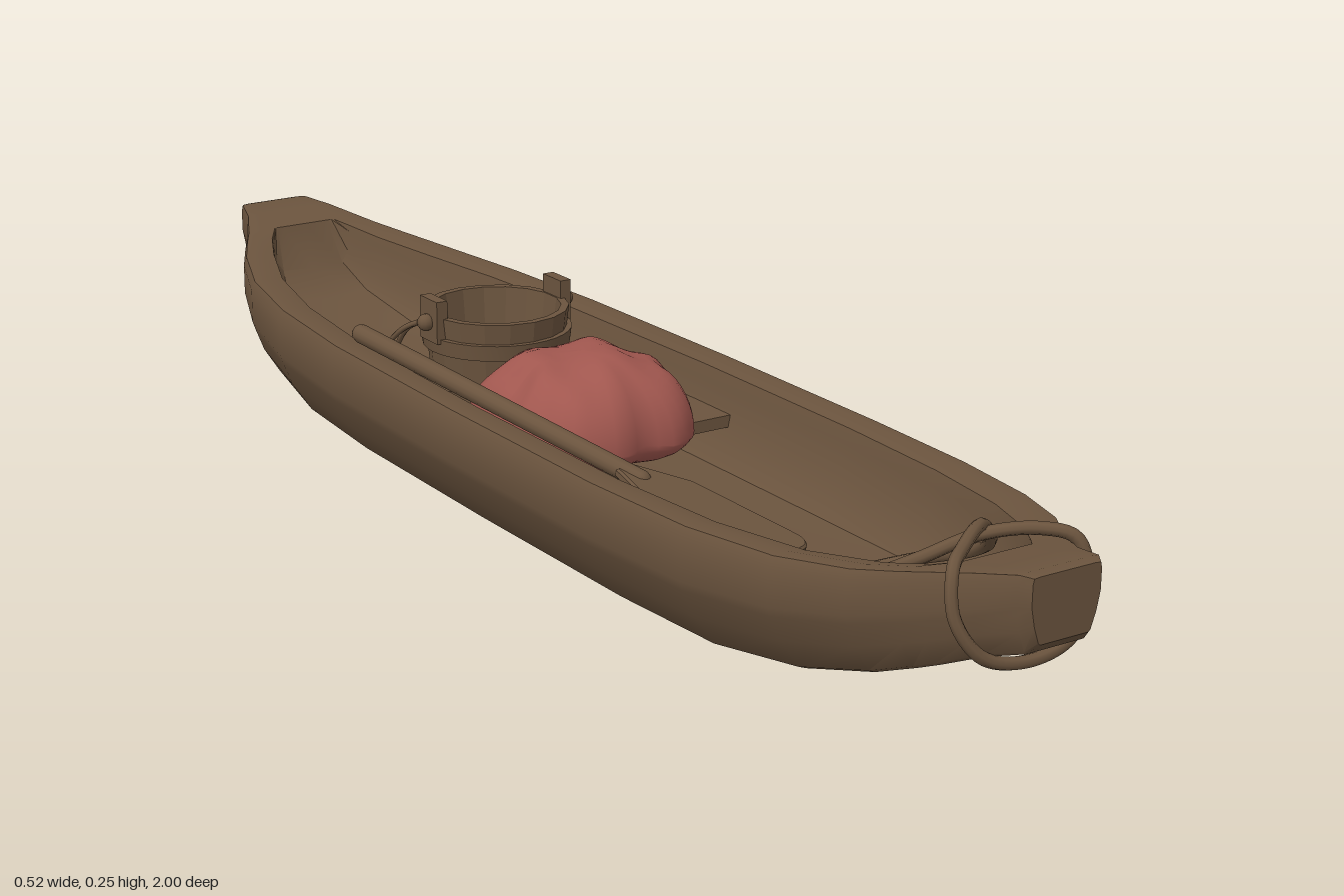
import * as THREE from 'three';
import { toCreasedNormals } from 'three/addons/utils/BufferGeometryUtils.js';

const CX = 0.022; // hull centre line
const wood = new THREE.MeshStandardMaterial({ name: 'brownWood', color: 0x6b543e });
const red = new THREE.MeshStandardMaterial({ name: 'redCloth', color: 0xa1574f });
const V = (x, y, z) => new THREE.Vector3(x, y, z);

function add(parent, name, geometry, material = wood, x = 0, y = 0, z = 0) {
  const mesh = new THREE.Mesh(geometry, material);
  mesh.name = name;
  mesh.position.set(x, y, z);
  parent.add(mesh);
  return mesh;
}

function rope(points, radius, closed = false) {
  const curve = new THREE.CatmullRomCurve3(points, closed);
  return new THREE.TubeGeometry(curve, points.length * 8, radius, 8, closed);
}

// Dugout hull: each station is z, half width, rim y, keel y, inner half width, floor y
function hullGeometry() {
  const stations = [
    [-1.0, 0.052, 0.222, 0.14, 0.03, 0.222],
    [-0.985, 0.06, 0.226, 0.125, 0.035, 0.226],
    [-0.93, 0.078, 0.222, 0.1, 0.045, 0.222],
    [-0.875, 0.106, 0.21, 0.075, 0.055, 0.21],
    [-0.85, 0.122, 0.203, 0.067, 0.073, 0.14],
    [-0.8, 0.15, 0.193, 0.05, 0.096, 0.1],
    [-0.7, 0.187, 0.182, 0.022, 0.132, 0.065],
    [-0.55, 0.216, 0.177, 0.003, 0.162, 0.05],
    [-0.35, 0.233, 0.175, 0, 0.181, 0.045],
    [0.0, 0.24, 0.175, 0, 0.19, 0.045],
    [0.35, 0.239, 0.175, 0, 0.188, 0.045],
    [0.55, 0.229, 0.177, 0.003, 0.175, 0.05],
    [0.7, 0.204, 0.182, 0.022, 0.148, 0.065],
    [0.8, 0.165, 0.19, 0.047, 0.108, 0.09],
    [0.85, 0.13, 0.196, 0.065, 0.075, 0.13],
    [0.875, 0.112, 0.2, 0.075, 0.055, 0.2],
    [0.93, 0.08, 0.21, 0.1, 0.045, 0.21],
    [0.985, 0.062, 0.222, 0.12, 0.035, 0.222],
    [1.0, 0.052, 0.22, 0.135, 0.03, 0.22],
  ];
  const pos = [], index = [];
  let n = 0;
  for (const [z, w, t, b, iw, f] of stations) {
    const h = t - b, d = t - f;
    const half = [
      [0, b], [0.7 * w, b], [0.76 * w, b + 0.03 * h], [0.9 * w, b + 0.28 * h],
      [0.975 * w, b + 0.5 * h], [w, b + 0.58 * h], [w, b + 0.9 * h], [0.965 * w, t - 0.01 * h],
      [(w + iw) / 2, t], [iw, t - 0.04 * d], [0.97 * iw, t - 0.2 * d],
      [0.9 * iw, f + 0.3 * d], [0.74 * iw, f + 0.05 * d], [0, f],
    ];
    const ring = [...half, ...half.slice(1, -1).reverse().map(([x, y]) => [-x, y])];
    n = ring.length;
    for (const [x, y] of ring) pos.push(x + CX, y, z);
  }
  const last = stations.length - 1;
  for (let i = 0; i < last; i++)
    for (let j = 0; j < n; j++) {
      const k = (j + 1) % n, a = i * n + j, b = i * n + k, c = b + n, d = a + n;
      index.push(a, b, d, b, c, d);
    }
  // Blunt ends
  for (let j = 1; j < n - 1; j++) {
    index.push(0, j + 1, j);
    index.push(last * n, last * n + j, last * n + j + 1);
  }
  const g = new THREE.BufferGeometry();
  g.setAttribute('position', new THREE.Float32BufferAttribute(pos, 3));
  g.setIndex(index);
  return toCreasedNormals(g, 0.6);
}

// Folded cloth: a squarish dome with ridges
function clothGeometry() {
  const g = new THREE.SphereGeometry(1, 48, 28);
  const p = g.attributes.position;
  for (let i = 0; i < p.count; i++) {
    const x = p.getX(i), y = p.getY(i), z = p.getZ(i);
    const a = Math.atan2(z, x), r = Math.hypot(x, z);
    const square = 1 / Math.pow(Math.abs(Math.cos(a)) ** 3 + Math.abs(Math.sin(a)) ** 3, 1 / 3);
    const ripple = 1 + 0.035 * Math.sin(7 * a + 1) + 0.02 * Math.sin(12 * a);
    const s = Math.pow(r, 0.75) * square * ripple * 0.142;
    const fold = 0.005 * Math.sin(11 * x + 1.5 * Math.sin(3 * z)) * (1 - 0.5 * r);
    p.setXYZ(i, s * Math.cos(a), y > 0 ? 0.11 * y + fold : 0.045 * y, s * Math.sin(a));
  }
  g.computeVertexNormals();
  return g;
}

function makePaddle() {
  const paddle = new THREE.Group();
  paddle.name = 'paddle';
  add(paddle, 'paddleShaft', new THREE.CapsuleGeometry(0.0135, 0.5, 6, 12).rotateX(Math.PI / 2), wood, 0, 0, 0.25);
  const s = new THREE.Shape();
  s.moveTo(-0.013, 0.47);
  s.lineTo(-0.047, 0.55);
  s.lineTo(-0.05, 0.72);
  s.quadraticCurveTo(-0.048, 0.74, -0.03, 0.742);
  s.lineTo(0.03, 0.742);
  s.quadraticCurveTo(0.048, 0.74, 0.05, 0.72);
  s.lineTo(0.047, 0.55);
  s.lineTo(0.013, 0.47);
  s.closePath();
  const blade = new THREE.ExtrudeGeometry(s, { depth: 0.008, bevelSize: 0.003, bevelThickness: 0.003, bevelSegments: 1 });
  add(paddle, 'paddleBlade', blade.rotateX(Math.PI / 2), wood, 0, 0.004, 0);
  paddle.position.set(-0.245, 0.24, -0.19);
  paddle.lookAt(0.01, 0.07, 0.48);
  return paddle;
}

function makeBucket() {
  const bucket = new THREE.Group();
  bucket.name = 'bucket';
  const profile = [[0, 0], [0.093, 0], [0.11, 0.158], [0.098, 0.158], [0.082, 0.02], [0, 0.02]];
  const body = new THREE.LatheGeometry(profile.map(([x, y]) => new THREE.Vector2(x, y)), 18);
  add(bucket, 'bucketStaves', toCreasedNormals(body, 0.3));
  // Hoops
  for (const y of [0.035, 0.115]) {
    const r = 0.094 + 0.107 * y;
    const band = [[r - 0.005, y - 0.012], [r + 0.005, y - 0.012], [r + 0.008, y + 0.012], [r - 0.003, y + 0.012]];
    const g = new THREE.LatheGeometry(band.map(([x, h]) => new THREE.Vector2(x, h)), 36);
    add(bucket, 'bucketHoop', toCreasedNormals(g, 0.5));
  }
  // Ears with hanging handle cords
  for (const s of [-1, 1]) {
    add(bucket, 'bucketEar', new THREE.BoxGeometry(0.018, 0.065, 0.05), wood, s * 0.108, 0.153, 0);
    add(bucket, 'handlePin', new THREE.SphereGeometry(0.013, 12, 8), wood, s * 0.122, 0.15, 0);
    for (const o of [0, 0.02])
      add(bucket, 'handleCord', rope([
        V(s * 0.118, 0.155, 0), V(s * (0.132 + o * 0.4), 0.135, -0.035),
        V(s * (0.13 + o), 0.09, -0.08), V(s * (0.128 + o), 0.04, -0.125 + o * 0.5),
      ], 0.004));
  }
  bucket.position.set(0.055, 0.045, -0.32);
  return bucket;
}

function makeMooring() {
  const mooring = new THREE.Group();
  mooring.name = 'mooringRope';
  // One closed line: round the prow, crossed on deck, looped inside
  const path = [
    [0, 0.088, 0.945], [0.07, 0.105, 0.94], [0.102, 0.155, 0.925], [0.095, 0.21, 0.91],
    [0.06, 0.222, 0.885], [0, 0.214, 0.845], [-0.055, 0.18, 0.8], [-0.083, 0.14, 0.735],
    [-0.06, 0.11, 0.66], [0, 0.1, 0.635], [0.06, 0.11, 0.66], [0.083, 0.14, 0.735],
    [0.055, 0.18, 0.8], [0, 0.226, 0.845], [-0.06, 0.222, 0.885], [-0.095, 0.21, 0.91],
    [-0.102, 0.155, 0.925], [-0.07, 0.105, 0.94],
  ];
  add(mooring, 'prowRope', rope(path.map(([x, y, z]) => V(x + CX, y, z)), 0.0085, true));
  // Rough oval mat inside the loop
  const mat = add(mooring, 'ovalMat', new THREE.CylinderGeometry(1, 1, 0.009, 32), wood, CX, 0.115, 0.73);
  mat.scale.set(0.068, 1, 0.085);
  mat.rotation.x = -0.3;
  for (let i = 0; i < 26; i++) {
    const a = i * 2.4, r = Math.sqrt((i + 0.5) / 26);
    const z = 0.07 * r * Math.sin(a);
    add(mooring, 'matKnot', new THREE.SphereGeometry(0.005, 6, 4), wood,
      CX + 0.055 * r * Math.cos(a), 0.119 + z * 0.3, 0.73 + z);
  }
  return mooring;
}

export function createModel() {
  const model = new THREE.Group();
  model.name = 'canoe';
  add(model, 'hull', hullGeometry());
  // Seat plank
  add(model, 'seat', new THREE.BoxGeometry(0.365, 0.018, 0.185), wood, CX, 0.108, -0.005);
  add(model, 'foldedCloth', clothGeometry(), red, 0.012, 0.11, -0.01);
  model.add(makePaddle(), makeBucket(), makeMooring());
  return model;
}
